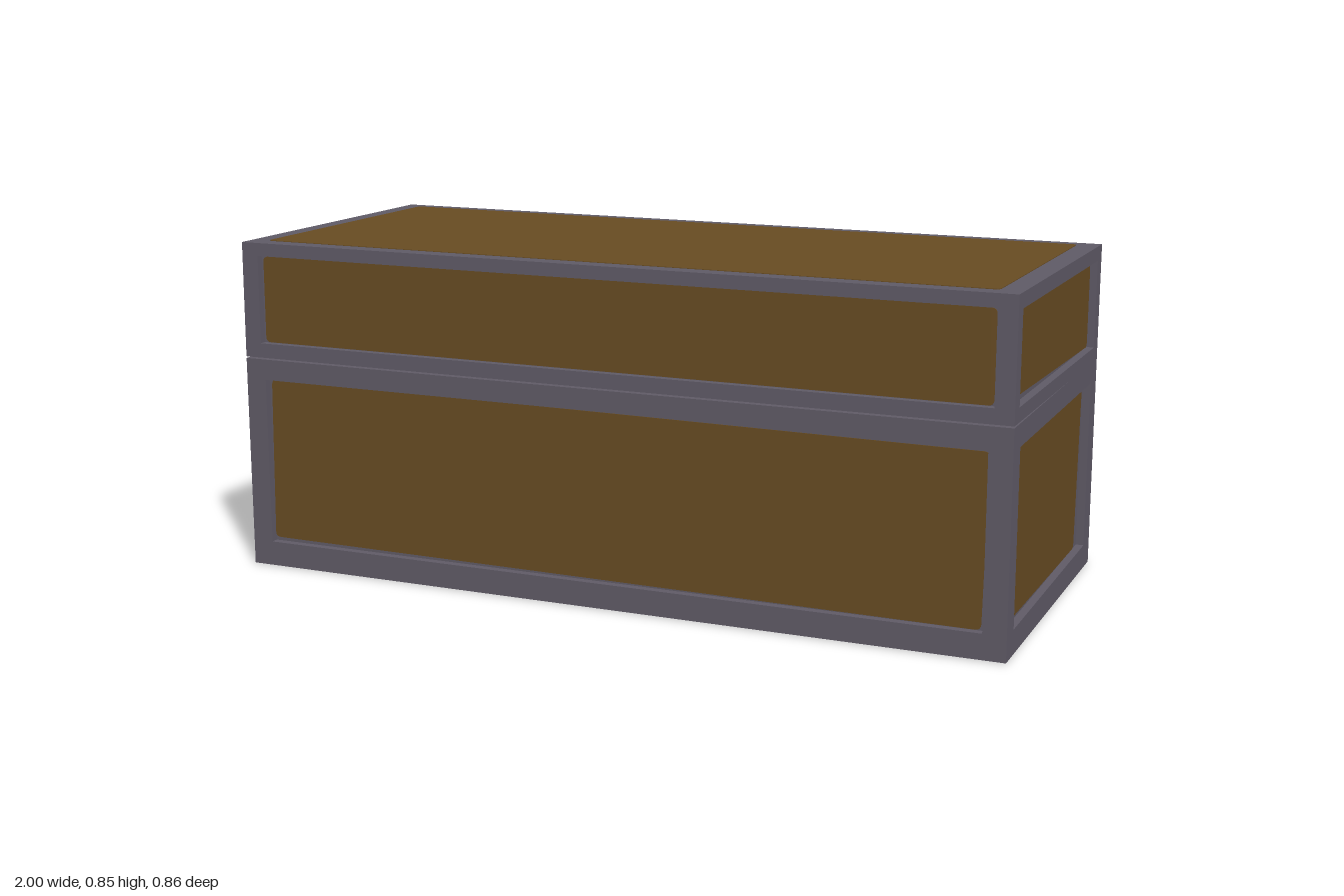
import * as THREE from 'three';

const W = 2, D = 0.857, DEPTH = 0.02; // DEPTH: how far panels are recessed

export function createModel() {
  const iron = new THREE.MeshStandardMaterial({ color: 0x5f5a66 });
  iron.name = 'iron';
  const wood = new THREE.MeshStandardMaterial({ color: 0x674b22 });
  wood.name = 'wood';

  const add = (parent, name, geo, mat) => {
    const mesh = new THREE.Mesh(geo, mat);
    mesh.name = name;
    parent.add(mesh);
    return mesh;
  };

  // Polygon with softened corners
  const softShape = (corners, r = 0.014) => {
    const pts = corners.map(([x, y]) => new THREE.Vector2(x, y));
    const n = pts.length;
    const s = new THREE.Shape();
    pts.forEach((p, i) => {
      const toward = (q) => p.clone().add(q.clone().sub(p).setLength(r));
      const a = toward(pts[(i + n - 1) % n]), b = toward(pts[(i + 1) % n]);
      if (i === 0) s.moveTo(a.x, a.y); else s.lineTo(a.x, a.y);
      s.quadraticCurveTo(p.x, p.y, b.x, b.y);
    });
    s.closePath();
    return s;
  };

  const plate = (corners) =>
    new THREE.ExtrudeGeometry(softShape(corners), { depth: 0.002, bevelEnabled: false, curveSegments: 4 });

  // Frame with a rectangular opening [x0, y0, x1, y1], its back at z = 0
  const frame = (width, height, [x0, y0, x1, y1]) => {
    const w = width / 2;
    const s = new THREE.Shape([[-w, 0], [w, 0], [w, height], [-w, height]].map((p) => new THREE.Vector2(...p)));
    s.holes.push(new THREE.Path([[x0, y0], [x0, y1], [x1, y1], [x1, y0]].map((p) => new THREE.Vector2(...p))));
    return new THREE.ExtrudeGeometry(s, { depth: DEPTH, bevelEnabled: false });
  };

  // Box with a framed, recessed wood panel on each of its four sides
  const panelledBox = (name, height, long, short) => {
    const box = new THREE.Group();
    box.name = name;
    const core = new THREE.BoxGeometry(W - 2 * DEPTH, height, D - 2 * DEPTH).translate(0, height / 2, 0);
    add(box, name + 'Core', core, iron);
    ['front', 'left', 'back', 'right'].forEach((sideName, i) => {
      const isLong = i % 2 === 0;
      const spec = isLong ? long : short;
      const side = new THREE.Group();
      side.name = sideName + 'Side';
      add(side, sideName + 'Frame', frame(isLong ? W : D - 2 * DEPTH, height, spec.hole), iron);
      add(side, sideName + 'Panel', plate(spec.panel), wood);
      const a = (i * Math.PI) / 2, out = (isLong ? D : W) / 2 - DEPTH;
      side.rotation.y = a;
      side.position.set(Math.sin(a) * out, 0, Math.cos(a) * out);
      box.add(side);
    });
    return box;
  };

  // Chest body
  const base = panelledBox('base', 0.545,
    { hole: [-0.945, 0.063, 0.943, 0.492],
      panel: [[-0.945, 0.072], [0.935, 0.064], [0.943, 0.482], [-0.938, 0.491]] },
    { hole: [-0.367, 0.061, 0.365, 0.489],
      panel: [[-0.367, 0.07], [0.324, 0.063], [0.348, 0.488], [-0.345, 0.488]] });

  // Lid, resting very slightly open at the front
  const lid = panelledBox('lid', 0.294,
    { hole: [-0.955, 0.037, 0.953, 0.261],
      panel: [[-0.95, 0.038], [0.948, 0.038], [0.948, 0.258], [-0.95, 0.258]] },
    { hole: [-0.388, 0.035, 0.386, 0.257],
      panel: [[-0.385, 0.05], [0.384, 0.036], [0.384, 0.25], [-0.369, 0.256]] });
  lid.position.y = 0.546;
  lid.rotation.x = -0.008;

  // Flush panels on the top and underside
  const topPanel = add(lid, 'topPanel',
    plate([[-0.952, -0.382], [0.945, -0.382], [0.945, 0.388], [-0.952, 0.388]]), wood);
  topPanel.rotation.x = -Math.PI / 2;
  topPanel.position.y = 0.2935;
  const bottomPanel = add(base, 'bottomPanel',
    plate([[-0.945, -0.38], [0.945, -0.38], [0.945, 0.38], [-0.945, 0.38]]), wood);
  bottomPanel.rotation.x = Math.PI / 2;
  bottomPanel.position.y = 0.0005;

  const model = new THREE.Group();
  model.name = 'chest';
  model.add(base, lid);
  return model;
}
